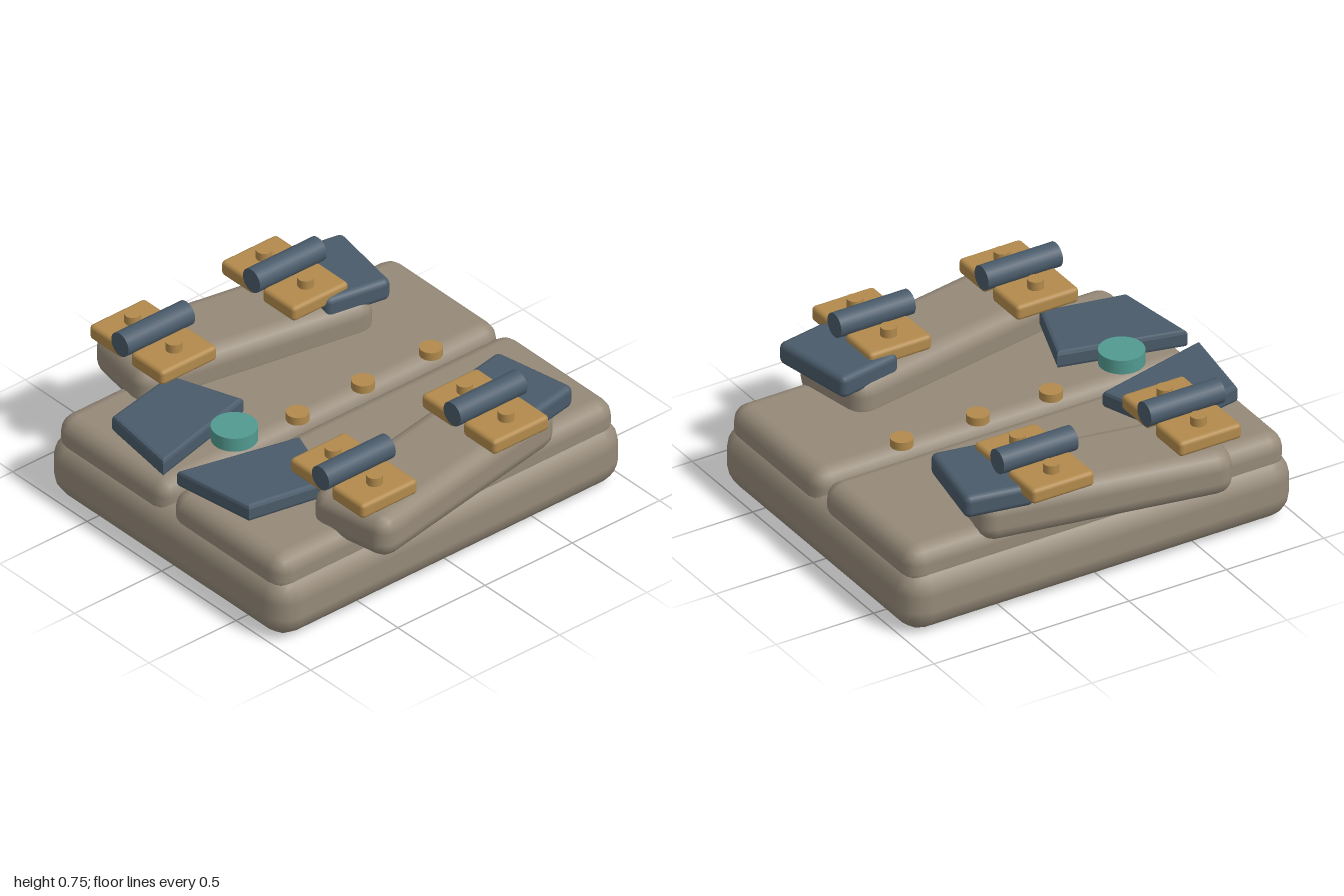
import * as THREE from 'three';
import { RoundedBoxGeometry } from 'three/addons/geometries/RoundedBoxGeometry.js';

const flat = (name, color) => {
  const m = new THREE.MeshStandardMaterial({ color });
  m.name = name;
  return m;
};

export function createModel() {
  const cloth = flat('taupe cloth', 0x968a79);
  const navy = flat('slate blue', 0x4a5b6a);
  const gold = flat('brass', 0xb28a4c);
  const teal = flat('teal', 0x529a90);

  const model = new THREE.Group();
  model.name = 'foldedJacket';

  const add = (name, geometry, material, x, y, z, parent = model) => {
    const mesh = new THREE.Mesh(geometry, material);
    mesh.name = name;
    mesh.position.set(x, y, z);
    parent.add(mesh);
    return mesh;
  };
  const box = (w, h, d, r, seg = 2) => new RoundedBoxGeometry(w, h, d, seg, r);
  const disc = (r, h, sides = 20) => new THREE.CylinderGeometry(r, r, h, sides);

  // Folded body
  add('body', box(1.6, 0.32, 2, 0.12), cloth, 0, 0.16, 0);

  // Lapel outline, drawn in x and z for the +x side
  const lapelOutline = [[0.2, 0.39], [0.065, 0.935], [0.445, 0.877], [0.518, 0.505]];

  for (const s of [1, -1]) {
    const side = s > 0 ? 'left' : 'right';

    // Front panel and sleeve
    add(side + 'FrontPanel', box(0.75, 0.2, 1.94, 0.08), cloth, s * 0.385, 0.32, 0);
    add(side + 'Sleeve', box(0.44, 0.22, 1.2, 0.08), cloth, s * 0.67, 0.46, 0.01)
      .rotation.y = s * 0.18;

    // Cuff at the back end of the sleeve
    add(side + 'Cuff', box(0.43, 0.11, 0.33, 0.03), navy, s * 0.596, 0.575, -0.5)
      .rotation.y = s * 0.18;

    // Lapel: bevelled plate laid flat
    const shape = new THREE.Shape(lapelOutline.map(([x, z]) => new THREE.Vector2(s * x, -z)));
    const lapel = new THREE.ExtrudeGeometry(shape, {
      depth: 0.05, bevelEnabled: true, bevelThickness: 0.017, bevelSize: 0.017, bevelSegments: 2,
    });
    lapel.rotateX(-Math.PI / 2);
    add(side + 'Lapel', lapel, navy, 0, 0.467, 0);

    // Two clasps: paired plates, studs and a toggle bar
    [-0.282, 0.473].forEach((z, i) => {
      const clasp = new THREE.Group();
      clasp.name = side + (i ? 'FrontClasp' : 'BackClasp');
      clasp.position.set(s * 0.673, 0, z);
      model.add(clasp);
      for (const x of [-0.139, 0.139]) {
        add('claspPlate', box(0.215, 0.075, 0.32, 0.02), gold, x, 0.622, 0, clasp);
        add('claspStud', disc(0.037, 0.05), gold, x, 0.677, 0, clasp);
      }
      add('toggleBar', disc(0.058, 0.382, 24), navy, 0, 0.694, 0, clasp).rotation.x = Math.PI / 2;
    });
  }

  // Centre buttons and collar disc
  for (const z of [-0.545, -0.155, 0.22]) add('button', disc(0.052, 0.04), gold, 0, 0.475, z);
  add('collarDisc', disc(0.104, 0.068, 28), teal, 0, 0.55, 0.583);

  return model;
}
